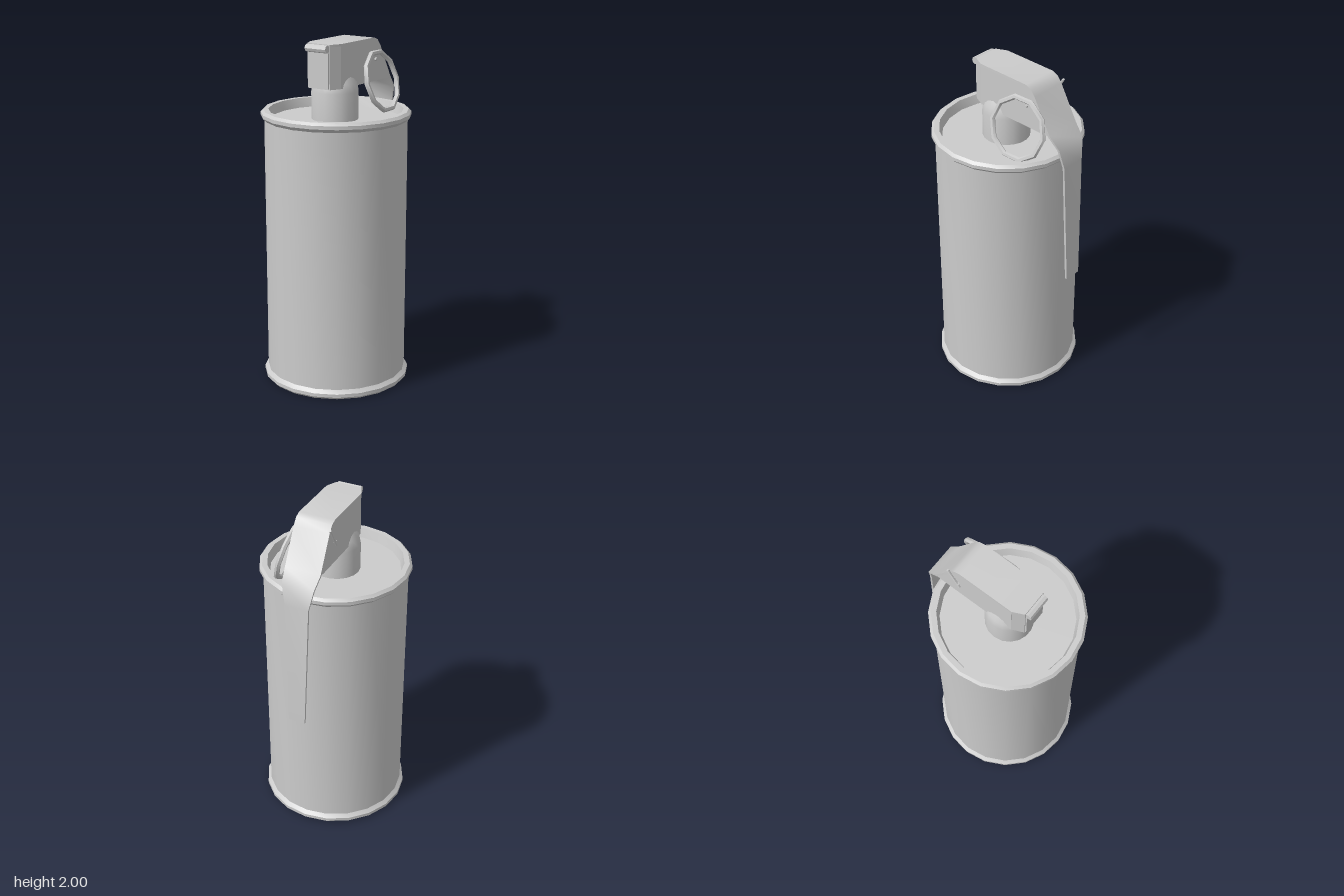
import * as THREE from 'three';
import { toCreasedNormals } from 'three/addons/utils/BufferGeometryUtils.js';

const material = new THREE.MeshStandardMaterial({ color: 0xcccccc });
const V2 = (x, y) => new THREE.Vector2(x, y);

function part(name, geometry, x = 0, y = 0, z = 0, crease = 0.6) {
  const mesh = new THREE.Mesh(toCreasedNormals(geometry, crease), material);
  mesh.name = name;
  mesh.position.set(x, y, z);
  return mesh;
}

function lathe(points, segments) {
  return new THREE.LatheGeometry(points.map(([r, y]) => V2(r, y)), segments);
}

function extrude(points, depth) {
  const shape = new THREE.Shape(points.map(([x, y]) => V2(x, y)));
  return new THREE.ExtrudeGeometry(shape, { depth, bevelEnabled: false });
}

// Bends a box along stations of [x, y, half width], keeping an even thickness
function bentStrip(stations, thickness) {
  const n = stations.length - 1;
  const geometry = new THREE.BoxGeometry(1, 1, 1, n, 1, 1);
  const pos = geometry.attributes.position;
  for (let i = 0; i < pos.count; i++) {
    const k = Math.round((pos.getX(i) + 0.5) * n);
    const [x, y, half] = stations[k];
    const a = stations[Math.max(k - 1, 0)];
    const b = stations[Math.min(k + 1, n)];
    const t = V2(b[0] - a[0], b[1] - a[1]).normalize();
    const drop = pos.getY(i) > 0 ? 0 : thickness;
    pos.setXYZ(i, x + t.y * drop, y - t.x * drop, Math.sign(pos.getZ(i)) * half);
  }
  return geometry;
}

export function createModel() {
  const model = new THREE.Group();
  model.name = 'canisterWithLever';

  // Canister with rolled rims and recessed ends
  model.add(part('canister', lathe([
    [0, 0.04], [0.37, 0.04], [0.385, 0], [0.415, 0], [0.43, 0.015], [0.43, 0.035],
    [0.41, 0.055], [0.41, 1.56], [0.43, 1.58], [0.43, 1.6], [0.415, 1.615],
    [0.385, 1.615], [0.37, 1.56], [0, 1.56],
  ], 20), -0.04));

  // Neck with a tapered shoulder
  model.add(part('neck', lathe([
    [0.135, 1.555], [0.135, 1.72], [0.125, 1.77], [0.1, 1.815], [0, 1.815],
  ], 18), -0.05));

  // Fuse head: plan outline raised into a block
  const head = extrude([
    [-0.205, -0.075], [-0.14, -0.104], [0.08, -0.104],
    [0.08, 0.104], [-0.14, 0.104], [-0.205, 0.075],
  ], 0.245);
  head.rotateX(-Math.PI / 2);
  model.add(part('fuseHead', head, 0, 1.75, 0, 0.3));

  // Safety lever: wide over the head, narrowing down the side
  const lever = new THREE.Group();
  lever.name = 'safetyLever';
  lever.add(part('leverStrip', bentStrip([
    [-0.205, 2, 0.075], [-0.14, 2, 0.105], [0.19, 2, 0.105], [0.225, 1.987, 0.105],
    [0.255, 1.95, 0.105], [0.365, 1.755, 0.105], [0.425, 1.69, 0.095],
    [0.445, 1.57, 0.07], [0.47, 0.82, 0.05],
  ], 0.013)));
  const cheek = [
    [-0.14, 1.75], [0.33, 1.75], [0.36, 1.755], [0.253, 1.948],
    [0.224, 1.985], [0.19, 1.998], [-0.14, 1.998],
  ];
  for (const side of [1, -1]) {
    lever.add(part('leverCheek', extrude(cheek, 0.012), 0, 0, side * 0.099 - 0.006, 0.3));
  }
  model.add(lever);

  // Hinge roll at the end of the head
  const hinge = new THREE.CylinderGeometry(0.022, 0.022, 0.14, 8);
  hinge.rotateX(Math.PI / 2);
  model.add(part('hingeRoll', hinge, -0.219, 1.976, 0));
  model.add(part('hingeBracket', new THREE.BoxGeometry(0.012, 0.2, 0.14), -0.207, 1.855, 0));

  // Pull ring, leaning against the head
  const ring = part('pullRing', new THREE.TorusGeometry(0.172, 0.015, 6, 10),
    0.187, 1.757, 0.163, 0.8);
  ring.rotation.set(-0.27, 0.08, 0);
  model.add(ring);

  // Safety pin through the head, with its bent leg at the back
  const shaft = new THREE.CylinderGeometry(0.009, 0.009, 0.235, 6);
  shaft.rotateX(Math.PI / 2);
  model.add(part('pinShaft', shaft, 0.2, 1.875, 0));
  const leg = part('pinLeg', new THREE.CylinderGeometry(0.007, 0.007, 0.14, 6),
    0.227, 1.912, -0.113);
  leg.rotation.z = -0.54;
  model.add(leg);

  return model;
}
